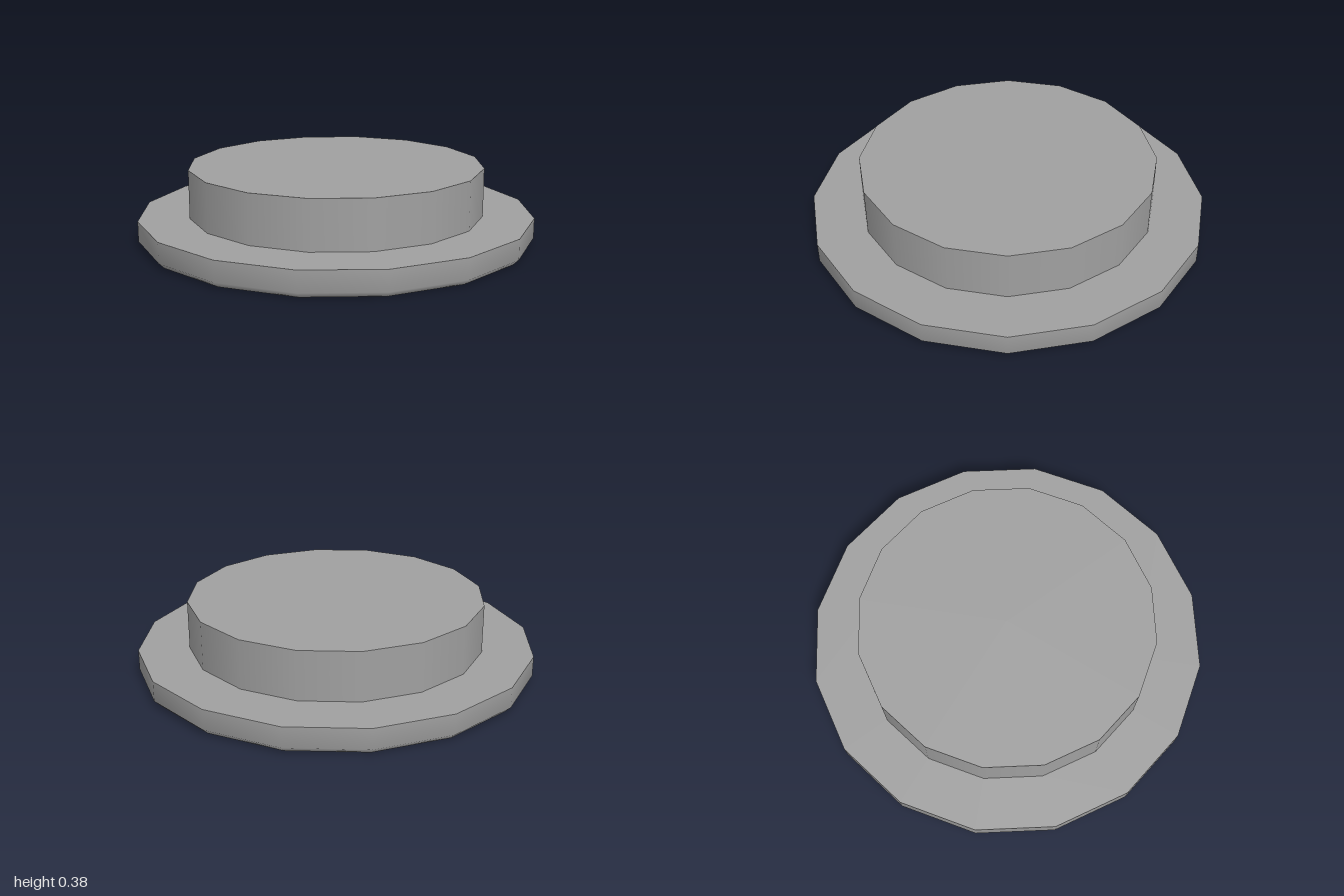
import * as THREE from 'three';

const SIDES = 16;

// Revolve a short [radius, height] profile, smooth within one profile
function ring(name, profile, material) {
  const points = profile.map(([r, y]) => new THREE.Vector2(r, y));
  const geometry = new THREE.LatheGeometry(points, SIDES);
  geometry.normalizeNormals();
  const mesh = new THREE.Mesh(geometry, material);
  mesh.name = name;
  return mesh;
}

export function createModel() {
  const group = new THREE.Group();
  group.name = 'ceilingLight';
  const grey = new THREE.MeshStandardMaterial({ color: 0xa0a0a0 });
  const glow = new THREE.MeshStandardMaterial({ color: 0xc2ba4f });

  const rimR = 1, drumR = 0.745, lensR = 0.675;
  const flangeY = 0.13, topY = 0.375, lensY = 0.05, bevel = 0.028;

  // Flange: recess wall, underside and bevelled outer edge, then flat top
  group.add(ring('flangeRim', [
    [lensR, lensY], [lensR, bevel], [lensR + 0.015, 0],
    [rimR - bevel, 0], [rimR, bevel], [rimR, flangeY],
  ], grey));
  group.add(ring('flangeTop', [[rimR, flangeY], [drumR, flangeY]], grey));

  // Drum above the flange
  group.add(ring('drumWall', [[drumR, flangeY], [drumR, topY]], grey));
  group.add(ring('drumTop', [[drumR, topY], [0, topY]], grey));

  // Recessed lens facing down
  group.add(ring('lens', [[0, lensY], [lensR, lensY]], glow));

  return group;
}
